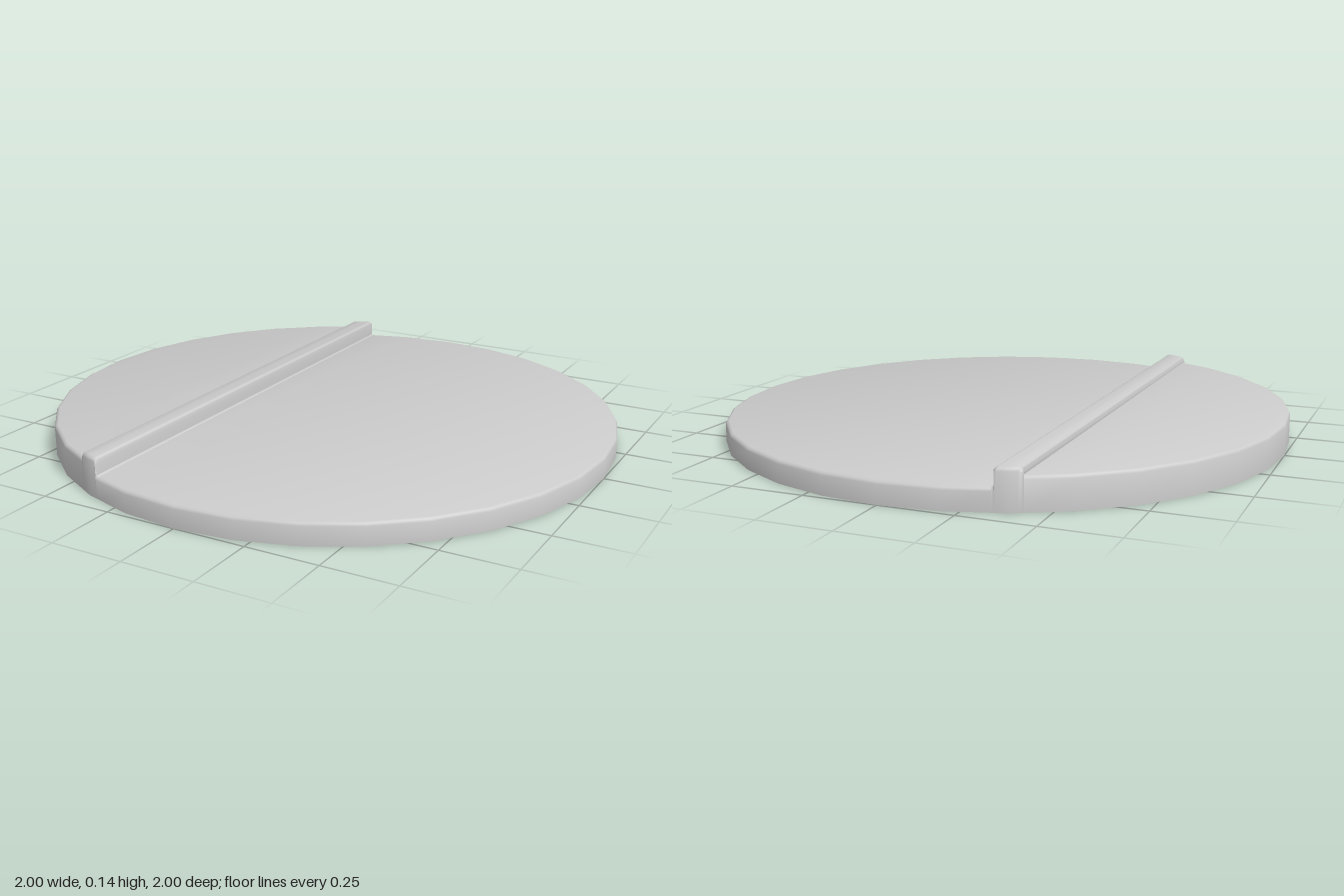
import * as THREE from 'three';
import { toCreasedNormals } from 'three/addons/utils/BufferGeometryUtils.js';

const SIDES = 32, STEP = (2 * Math.PI) / SIDES;
const LOW = 0.075, HIGH = 0.11, TOP = 0.135;   // heights of the three levels
const RIDGE_L = -0.423, RIDGE_R = -0.343;      // edges of the ridge
const material = new THREE.MeshStandardMaterial({ color: 0xcccccc, side: THREE.DoubleSide });

// x positions of the rim corners, from left to right
const corners = Array.from({ length: SIDES / 2 + 1 }, (_, k) => -Math.cos(k * STEP));

// half depth of the many-sided disc at a given x
function halfDepth(x) {
  const k = Math.min(Math.floor(Math.acos(THREE.MathUtils.clamp(-x, -1, 1)) / STEP), SIDES / 2 - 1);
  const t = (x - corners[k]) / (corners[k + 1] - corners[k]);
  return THREE.MathUtils.lerp(Math.sin(k * STEP), Math.sin((k + 1) * STEP), t);
}

// open shell under a height profile [x, y], with a softened rim and a skirt to the ground
function shell(name, profile) {
  const bevel = [[0, null], [0, 0.012], [0.004, 0.004], [0.012, 0]]; // inset, drop
  const rows = [...bevel.map((b) => [1, ...b]), ...bevel.map((b) => [-1, ...b]).reverse()];
  const positions = [], index = [];
  for (const [x, y] of profile) {
    const w = halfDepth(x);
    for (const [side, inset, drop] of rows) {
      positions.push(x * (1 - inset), drop === null ? 0 : y - drop, side * w * (1 - inset));
    }
  }
  const n = rows.length;
  for (let i = 0; i < profile.length - 1; i++) {
    for (let j = 0; j < n - 1; j++) {
      const a = i * n + j, b = a + n;
      index.push(a, b, b + 1, a, b + 1, a + 1);
    }
  }
  const geometry = new THREE.BufferGeometry();
  geometry.setAttribute('position', new THREE.Float32BufferAttribute(positions, 3));
  geometry.setIndex(index);
  const mesh = new THREE.Mesh(toCreasedNormals(geometry, 0.75), material);
  mesh.name = name;
  return mesh;
}

// quarter-round corner points of the ridge
function roundCorner(cx, cy, r, from, to) {
  return Array.from({ length: 5 }, (_, i) => {
    const a = THREE.MathUtils.lerp(from, to, i / 4);
    return [cx + r * Math.cos(a), cy + r * Math.sin(a)];
  });
}

export function createModel() {
  const group = new THREE.Group();
  group.name = 'steppedDisc';

  // raised segment on one side of the ridge
  group.add(shell('raisedPlate', [
    ...corners.filter((x) => x < RIDGE_L).map((x) => [x, HIGH]),
    [RIDGE_L, HIGH],
  ]));

  // straight ridge along the step, rounded on top and filleted at its foot
  const r = 0.014, foot = 0.006;
  group.add(shell('ridge', [
    [RIDGE_L, HIGH],
    ...roundCorner(RIDGE_L + r, TOP - r, r, Math.PI, Math.PI / 2),
    [corners[6 + 0], TOP],
    ...roundCorner(RIDGE_R - r, TOP - r, r, Math.PI / 2, 0),
    ...roundCorner(RIDGE_R + foot, LOW + foot, foot, Math.PI, Math.PI * 1.5),
  ]));

  // large lower segment
  group.add(shell('lowerPlate', [
    [RIDGE_R + foot, LOW],
    ...corners.filter((x) => x > RIDGE_R + foot).map((x) => [x, LOW]),
  ]));
  return group;
}
